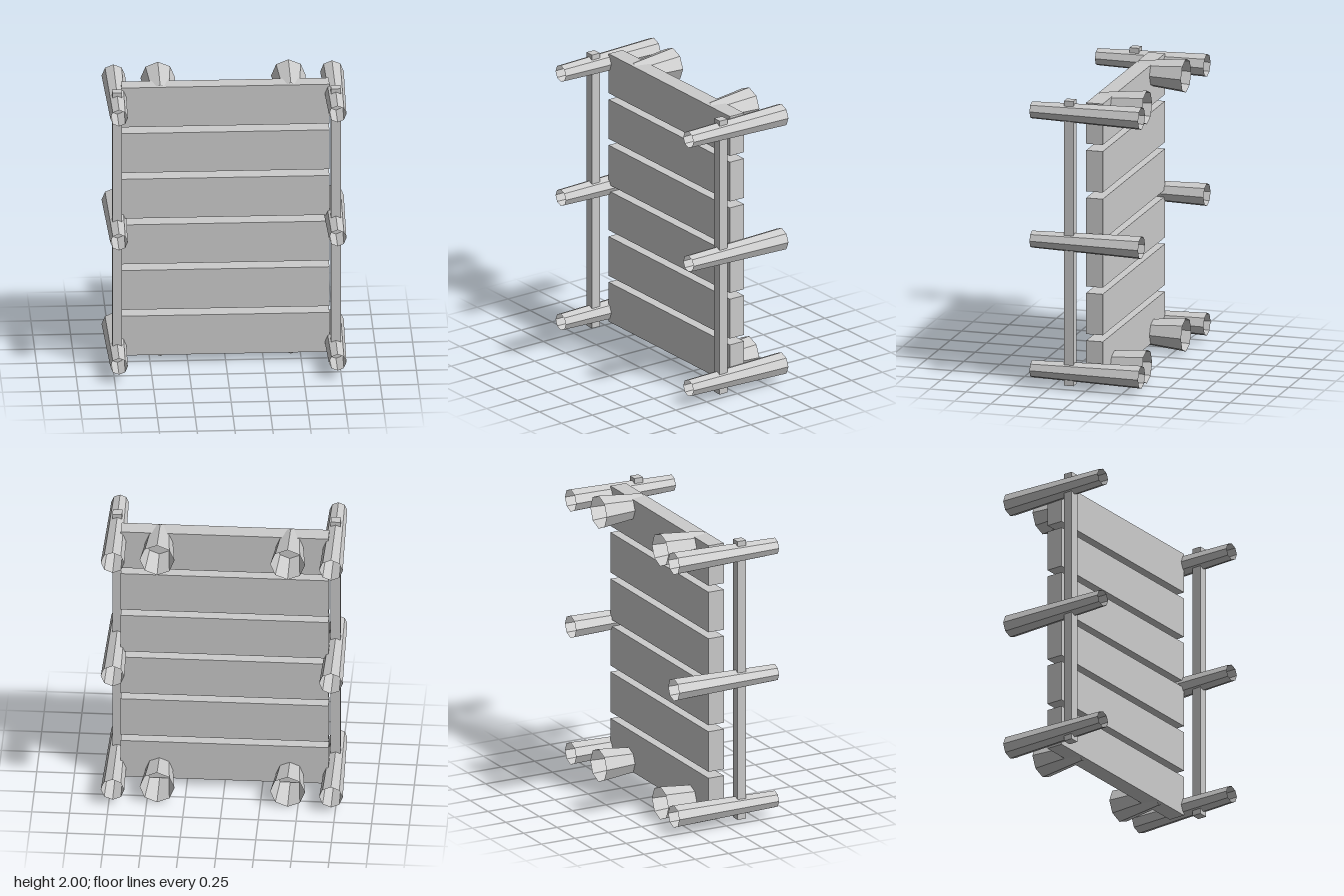
import * as THREE from 'three';

const solid = new THREE.MeshStandardMaterial({ color: 0xcccccc, flatShading: true });
const open = new THREE.MeshStandardMaterial({ color: 0xcccccc, flatShading: true, side: THREE.DoubleSide });

export function createModel() {
  const model = new THREE.Group();

  function box(name, w, h, d, x, y, z) {
    const mesh = new THREE.Mesh(new THREE.BoxGeometry(w, h, d), solid);
    mesh.name = name;
    mesh.position.set(x, y, z);
    model.add(mesh);
  }

  // Open, eight-sided tapered tube lying along z, with a corner at the top
  function tube(name, rFront, rBack, zFront, zBack, x, y) {
    const geometry = new THREE.CylinderGeometry(rFront, rBack, zFront - zBack, 8, 1, true);
    geometry.rotateX(Math.PI / 2);
    const mesh = new THREE.Mesh(geometry, open);
    mesh.name = name;
    mesh.position.set(x, y, (zFront + zBack) / 2);
    model.add(mesh);
  }

  // Six horizontal planks with narrow gaps
  for (let i = 0; i < 6; i++) {
    box('plank', 1.375, 0.28, 0.115, 0, 0.191 + i * 0.325, -0.042);
  }

  for (const [side, s] of [['left', 1], ['right', -1]]) {
    // Upright square rail threaded through the side poles
    box(side + 'Rail', 0.064, 1.945, 0.064, s * 0.723, 1.003, 0.115);

    // Three long poles running front to back
    for (const y of [0.12, 1.005, 1.888]) {
      tube(side + 'Pole', 0.058, 0.078, 0.379, -0.379, s * 0.723, y);
    }

    // Wide stubs on the back of the top and bottom planks
    for (const y of [0.116, 1.886]) {
      tube(side + 'BackStub', 0.08, 0.115, 0, -0.325, s * 0.432, y);
    }
  }

  return model;
}
